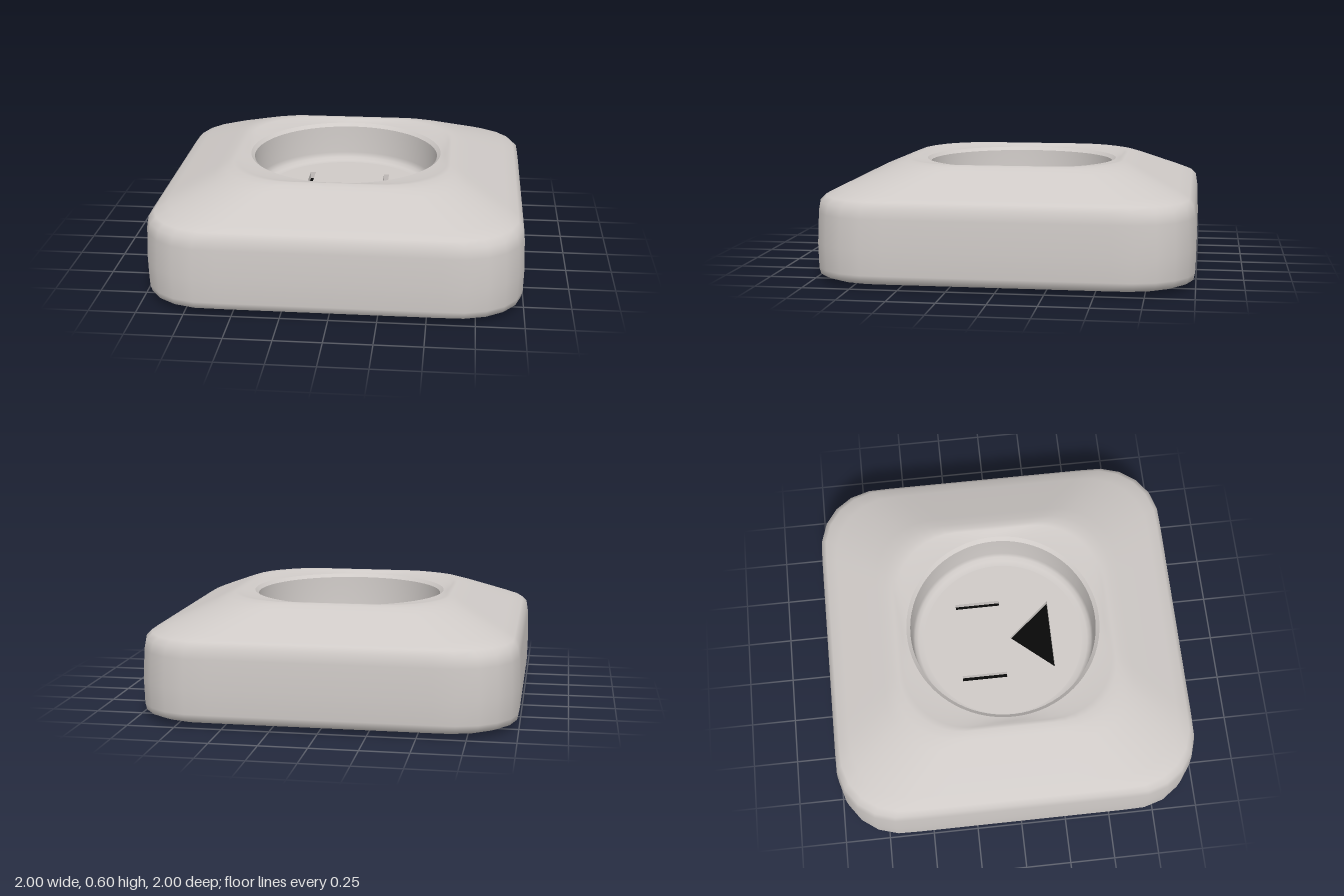
import * as THREE from 'three';

const SEGMENTS = 72;

// Distance from the centre to a rounded square (half width h, corner radius r) at an angle
function roundedSquare(angle, h, r) {
  const c = Math.abs(Math.cos(angle)), s = Math.abs(Math.sin(angle));
  const a = Math.max(c, s), b = Math.min(c, s), k = h - r;
  if ((h / a) * b <= k) return h / a;
  const d = k * (a + b);
  return d + Math.sqrt(Math.max(0, d * d - 2 * k * k + r * r));
}

// Smooth skin through rings of [half width, corner radius, height]
function loft(rings) {
  const positions = [], index = [];
  rings.forEach(([h, r, y], j) => {
    for (let i = 0; i < SEGMENTS; i++) {
      const t = (i / SEGMENTS) * Math.PI * 2;
      const d = h === 0 ? 0 : roundedSquare(t, h, r);
      positions.push(d * Math.cos(t), y, d * Math.sin(t));
      if (j === rings.length - 1) continue;
      const a = j * SEGMENTS + i, b = j * SEGMENTS + ((i + 1) % SEGMENTS);
      const c = a + SEGMENTS, e = b + SEGMENTS;
      if (h > 0) index.push(a, c, b);
      index.push(b, c, e);
    }
  });
  const g = new THREE.BufferGeometry();
  g.setAttribute('position', new THREE.Float32BufferAttribute(positions, 3));
  g.setIndex(index);
  g.computeVertexNormals();
  return g;
}

export function createModel() {
  const model = new THREE.Group();
  model.name = 'wallSocket';
  const plastic = new THREE.MeshStandardMaterial({ color: 0xcfcac7 });
  plastic.name = 'warm grey plastic';
  const black = new THREE.MeshStandardMaterial({ color: 0x080808 });
  black.name = 'black';

  function add(name, geometry, material) {
    const mesh = new THREE.Mesh(geometry, material);
    mesh.name = name;
    model.add(mesh);
    return mesh;
  }

  // Housing: nearly flat base, upright sides, sloping shoulders, ridge dipping to the rim
  add('housing', loft([
    [0, 0, 0], [0.5, 0.2, 0.004], [0.88, 0.3, 0.012], [0.96, 0.33, 0.02],
    [0.99, 0.34, 0.035], [0.997, 0.34, 0.07], [1, 0.34, 0.2], [0.994, 0.34, 0.36],
    [0.985, 0.34, 0.415], [0.96, 0.34, 0.443], [0.9, 0.34, 0.472], [0.68, 0.33, 0.568],
    [0.63, 0.33, 0.588], [0.595, 0.34, 0.597], [0.575, 0.36, 0.595],
    [0.56, 0.4, 0.585], [0.535, 0.535, 0.578],
  ]), plastic);

  // Round well: thin bevelled lip, then the wall with a fillet at the floor
  add('rimLip', loft([[0.535, 0.535, 0.578], [0.515, 0.515, 0.56]]), plastic);
  add('wellWall', loft([
    [0.515, 0.515, 0.56], [0.51, 0.51, 0.4], [0.5, 0.5, 0.372],
    [0.48, 0.48, 0.358], [0.45, 0.45, 0.355],
  ]), plastic);

  // Socket openings, drawn from above with y pointing to the back
  const slot = (x) => [[x - 0.015, 0], [x + 0.015, 0], [x + 0.015, 0.25], [x - 0.015, 0.25]];
  const openings = {
    leftSlot: slot(0.217),
    rightSlot: slot(-0.217),
    triangleOpening: [[-0.2, -0.275], [0.2, -0.275], [0, -0.04]],
  };
  const toVectors = (points) => points.map(([x, y]) => new THREE.Vector2(x, y));

  // Well floor with the openings cut through, and a black plate below each
  const disc = new THREE.Shape().absarc(0, 0, 0.451, 0, Math.PI * 2);
  for (const [name, points] of Object.entries(openings)) {
    disc.holes.push(new THREE.Path(toVectors(points)));
    const plate = new THREE.ShapeGeometry(new THREE.Shape(toVectors(points)));
    plate.rotateX(-Math.PI / 2);
    add(name, plate, black).position.y = 0.316;
  }
  const floor = new THREE.ExtrudeGeometry(disc, { depth: 0.04, bevelEnabled: false, curveSegments: 36 });
  floor.rotateX(-Math.PI / 2);
  add('wellFloor', floor, plastic).position.y = 0.315;

  return model;
}
